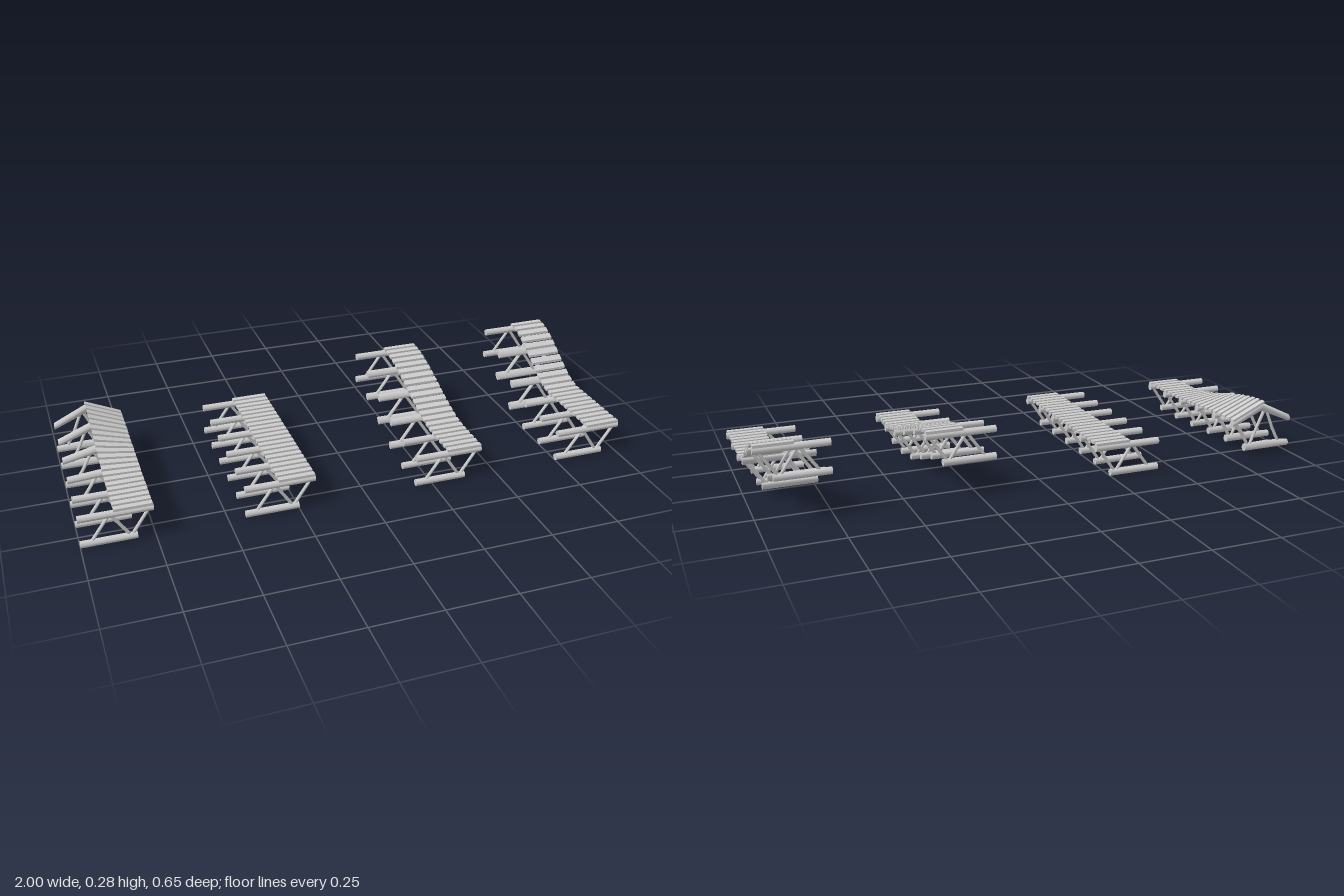
import * as THREE from 'three';

const STATIONS = 6, PLANKS = 21, HALF = 0.3125; // supports and planks along z
const LOW = 0.0125, HIGH = 0.11, DECK = 0.125;  // heights of lower log, upper log, deck
const PEAK = 0.122;                             // inner edge of the deck, from the left end

const ease = (z, start) => {
  const t = THREE.MathUtils.clamp((start - z) / (start + HALF), 0, 1);
  return t * t * (3 - 2 * t);
};

// Rise of a point (x from the section's left end) for each kind of section
const flat = () => 0;
const gentleRamp = (x, y, z) => 0.122 * ease(z, 0.1875);
const steepRamp = (x, y, z) => 0.147 * ease(z, 0.035);
const bank = (x, y, z) => {
  const w = THREE.MathUtils.clamp((y - LOW) / (HIGH - LOW), 0, 1);
  const tent = x < PEAK ? x / PEAK : (0.25 - x) / (0.25 - PEAK);
  return ease(z, 0.1875) * (0.021 + 0.062 * w * tent);
};

// Moves every vertex up by the section's rise
function bend(geometry, rise) {
  const p = geometry.attributes.position;
  for (let i = 0; i < p.count; i++) {
    const x = p.getX(i), y = p.getY(i), z = p.getZ(i);
    p.setY(i, y + rise(x, y, z));
  }
  geometry.computeVertexNormals();
  return geometry;
}

// Round pole between two points in the xy plane at depth z
function pole(x1, y1, x2, y2, z, radius, sides) {
  const a = new THREE.Vector3(x1, y1, z), b = new THREE.Vector3(x2, y2, z);
  const dir = b.clone().sub(a);
  const g = new THREE.CylinderGeometry(radius, radius, dir.length(), sides, 2);
  g.applyQuaternion(new THREE.Quaternion().setFromUnitVectors(
    new THREE.Vector3(0, 1, 0), dir.clone().normalize()));
  const mid = a.add(b).multiplyScalar(0.5);
  return g.translate(mid.x, mid.y, mid.z);
}

function createSection(name, x, rise, material) {
  const section = new THREE.Group();
  section.name = name;
  section.position.x = x;
  const add = (part, geometry) => {
    const mesh = new THREE.Mesh(bend(geometry, rise), material);
    mesh.name = part;
    section.add(mesh);
  };

  // Truss supports: two logs joined by three zigzag braces
  for (let i = 0; i < STATIONS; i++) {
    const z = HALF - i * 2 * HALF / (STATIONS - 1);
    add('lowerLog', pole(0, LOW, 0.19, LOW, z, 0.0125, 16));
    add('upperLog', pole(0, HIGH, 0.25, HIGH, z, 0.0125, 16));
    const nodes = [[0.035, LOW], [0.105, HIGH], [0.17, LOW], [0.237, HIGH]];
    for (let k = 0; k < 3; k++) {
      add('brace', pole(...nodes[k], ...nodes[k + 1], z, 0.0058, 10));
    }
  }

  // Deck planks
  for (let i = 0; i < PLANKS; i++) {
    const z = HALF - i * 2 * HALF / (PLANKS - 1);
    add('plank', new THREE.BoxGeometry(0.13, 0.01, 0.02).translate(0.183, DECK, z));
  }
  return section;
}

export function createModel() {
  const model = new THREE.Group();
  model.name = 'walkwaySections';
  const material = new THREE.MeshStandardMaterial({ color: 0xcccccc });
  model.add(
    createSection('bankedSection', -1, bank, material),
    createSection('flatSection', -0.44, flat, material),
    createSection('gentleRampSection', 0.187, gentleRamp, material),
    createSection('steepRampSection', 0.75, steepRamp, material));
  return model;
}
